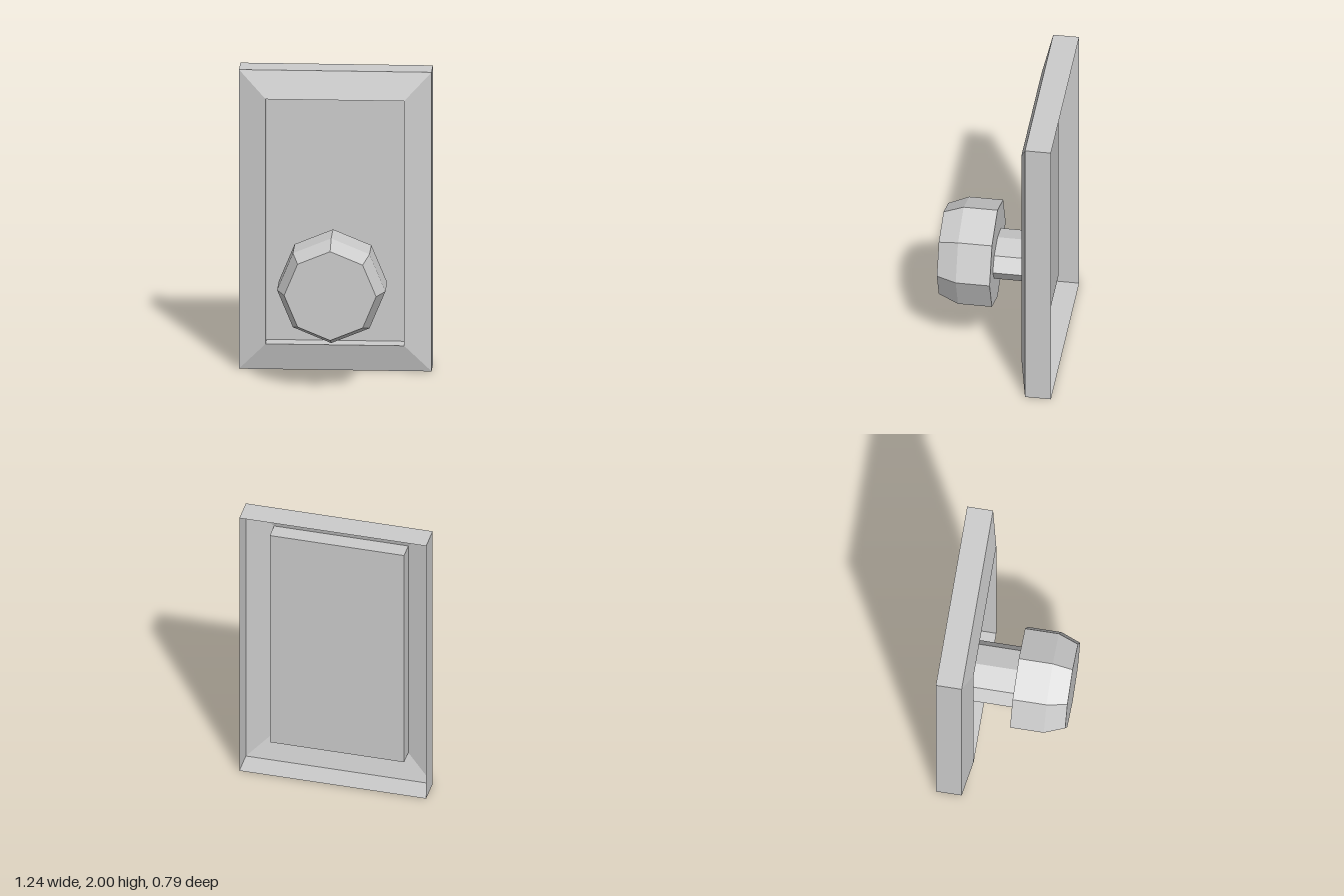
import * as THREE from 'three';

const KNOB_Y = 0.665;

// Open shell lofted through rectangles [halfWidth, halfHeight, z], capped at the last one
function rectLoft(rings) {
  const corners = rings.map(([w, h, z]) => [[-w, -h, z], [w, -h, z], [w, h, z], [-w, h, z]]);
  const pos = [];
  const quad = (a, b, c, d) => pos.push(...a, ...b, ...c, ...a, ...c, ...d);
  for (let r = 0; r < corners.length - 1; r++) {
    for (let i = 0; i < 4; i++) {
      const j = (i + 1) % 4;
      quad(corners[r][i], corners[r][j], corners[r + 1][j], corners[r + 1][i]);
    }
  }
  quad(...corners[corners.length - 1]);
  const geo = new THREE.BufferGeometry();
  geo.setAttribute('position', new THREE.Float32BufferAttribute(pos, 3));
  geo.computeVertexNormals();
  return geo;
}

// Eight-sided turned form along z from [radius, z] pairs
function octagonTurn(profile) {
  const points = profile.map(([r, z]) => new THREE.Vector2(r, z));
  return new THREE.LatheGeometry(points, 8).rotateX(Math.PI / 2);
}

export function createModel() {
  const group = new THREE.Group();
  const material = new THREE.MeshStandardMaterial({
    color: 0xcccccc, flatShading: true, side: THREE.DoubleSide,
  });
  const add = (name, geometry, y) => {
    const mesh = new THREE.Mesh(geometry, material);
    mesh.name = name;
    mesh.position.y = y;
    group.add(mesh);
  };

  // Backplate: hollow behind, with side walls, bevelled border and recessed panel
  add('backplate', rectLoft([
    [0.622, 1, -0.397],
    [0.622, 1, -0.228],
    [0.447, 0.818, -0.178],
    [0.447, 0.818, -0.288],
  ]), 1);

  // Stem: flattened octagon from the panel to the knob
  add('stem', octagonTurn([[1, -0.288], [1, 0.043]]).scale(0.21, 0.131, 1), KNOB_Y);

  // Knob: straight octagonal body with a chamfered front
  add('knob', octagonTurn([
    [0, 0.043], [0.35, 0.043], [0.35, 0.264], [0.297, 0.395], [0, 0.395],
  ]), KNOB_Y);

  return group;
}
